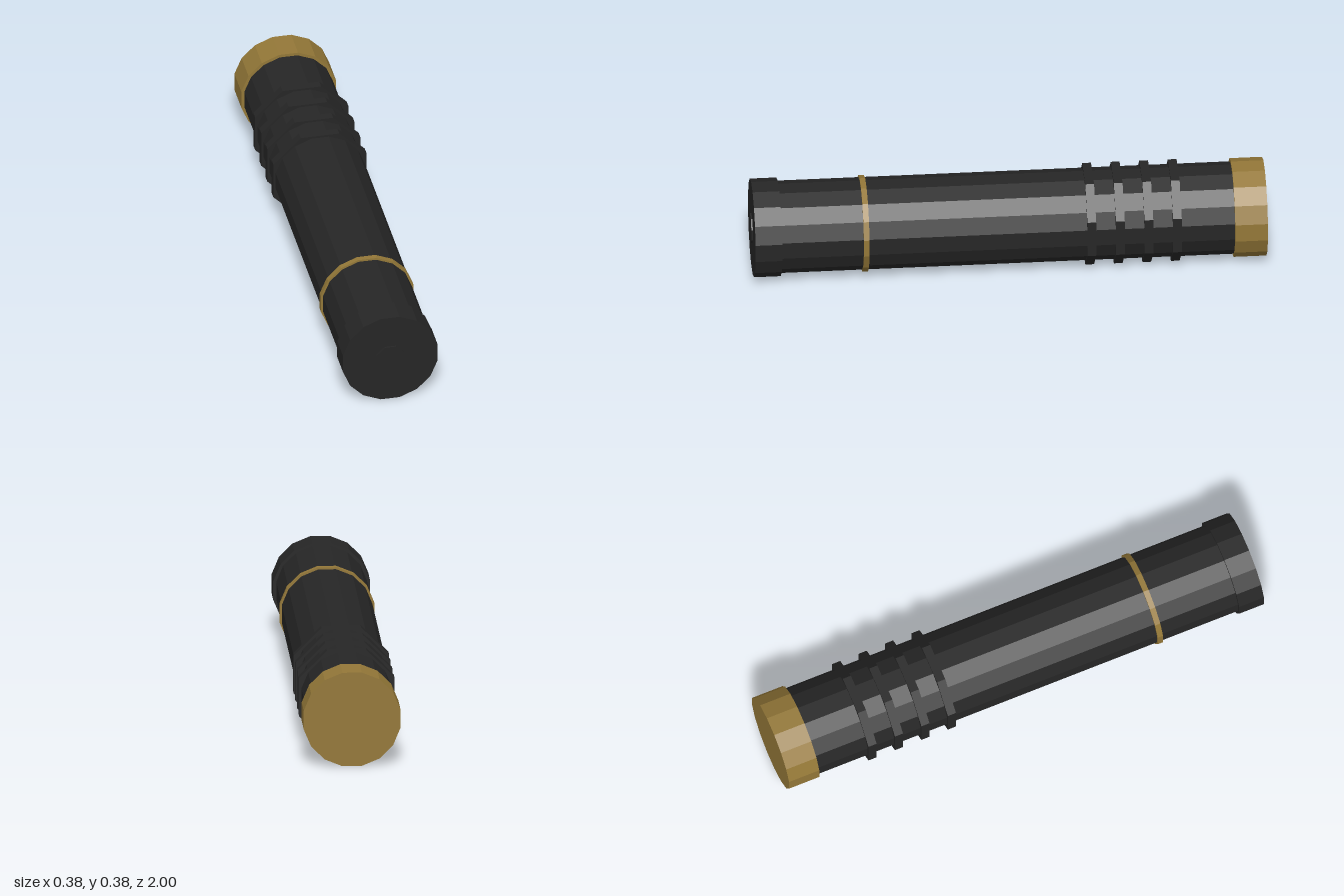
import * as THREE from 'three';

export function createModel() {
  const model = new THREE.Group();
  model.name = 'flashlight';

  const black = new THREE.MeshStandardMaterial({ color: 0x262626, flatShading: true });
  black.name = 'matte black';
  const brass = new THREE.MeshStandardMaterial({ color: 0x947838, flatShading: true });
  brass.name = 'aged brass';

  const axisY = 0.188;

  // Prism along z with flat sides facing up and sideways, sized across its flats
  function prism(name, apothem, sides, z0, z1, material) {
    const radius = apothem / Math.cos(Math.PI / sides);
    const geometry = new THREE.CylinderGeometry(radius, radius, z1 - z0, sides, 1, false, Math.PI / sides);
    geometry.rotateX(Math.PI / 2);
    const mesh = new THREE.Mesh(geometry, material);
    mesh.name = name;
    mesh.position.set(0, axisY, (z0 + z1) / 2);
    model.add(mesh);
  }

  // Barrel and end caps
  prism('barrel', 0.176, 16, -0.98, 0.98, black);
  prism('frontCap', 0.188, 16, 0.89, 0.994, black);
  prism('rearCap', 0.188, 16, -1, -0.873, brass);

  // Front button and brass trim band
  prism('button', 0.055, 8, 0.98, 1, black);
  prism('trimRing', 0.184, 16, 0.55, 0.572, brass);

  // Octagonal grip rings
  for (let i = 0; i < 4; i++) {
    const z = -0.315 - i * 0.111;
    prism('gripRing' + (i + 1), 0.185, 8, z - 0.017, z + 0.017, black);
  }

  return model;
}
